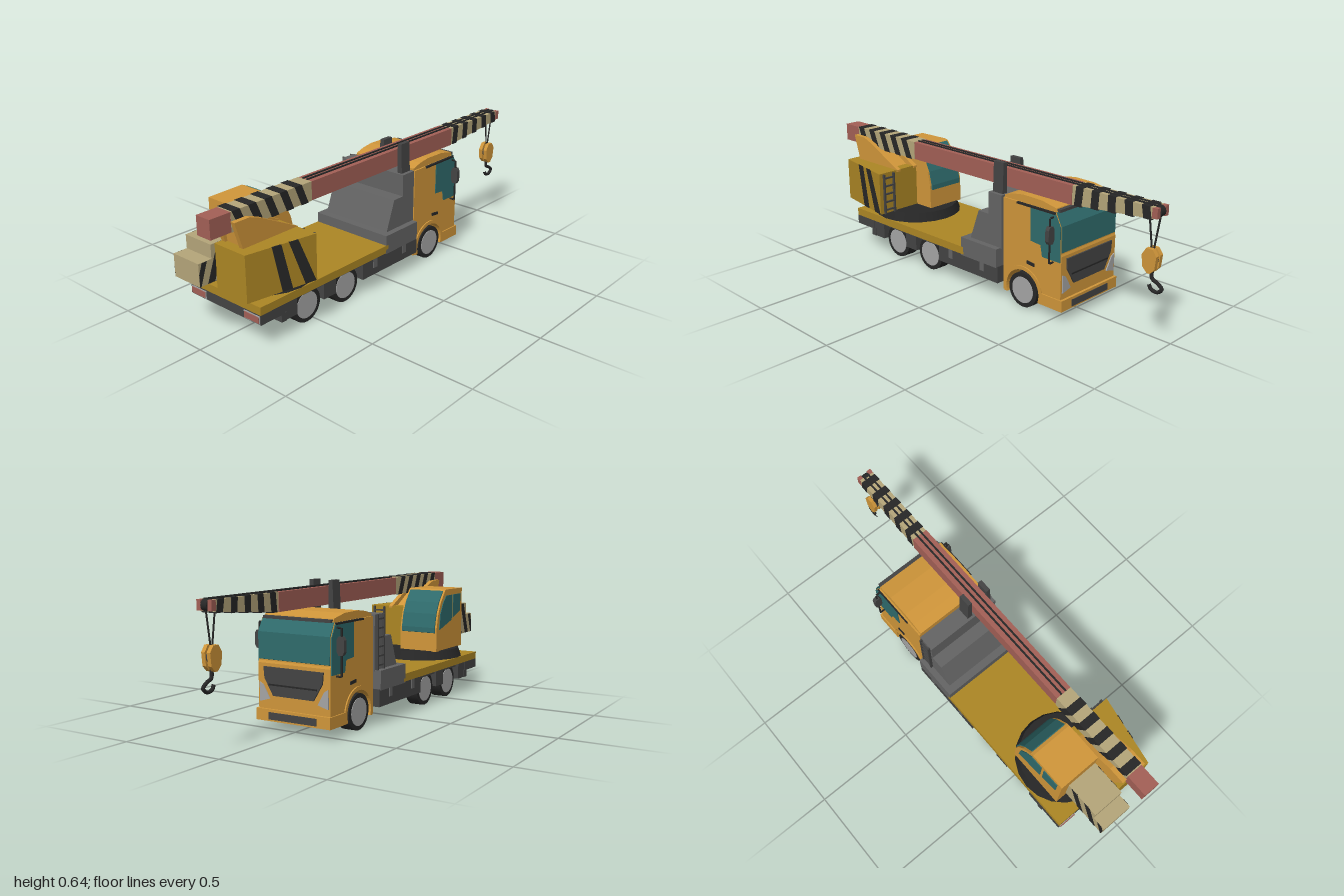
import * as THREE from 'three';

const C = -0.024;  // chassis centre line
const B = 0.079;   // boom centre line

export function createModel() {
  const root = new THREE.Group();
  root.name = 'mobileCrane';
  const mat = (name, color) => {
    const m = new THREE.MeshStandardMaterial({ color });
    m.name = name;
    return m;
  };
  const orange = mat('orange', 0xd0963a), olive = mat('mustard', 0xac8624), red = mat('red', 0xa36056);
  const beige = mat('beige', 0xb5a67a), teal = mat('glass', 0x2f6b6c), black = mat('black', 0x272727);
  const dark = mat('darkGrey', 0x444444), grey = mat('grey', 0x646464), light = mat('lightGrey', 0xa5a5a5);

  const add = (name, m, geo, parent = root) => {
    const mesh = new THREE.Mesh(geo, m);
    mesh.name = name;
    parent.add(mesh);
    return mesh;
  };
  // box given by its limits
  const box = (name, m, x0, x1, y0, y1, z0, z1, parent) =>
    add(name, m, new THREE.BoxGeometry(x1 - x0, y1 - y0, z1 - z0)
      .translate((x0 + x1) / 2, (y0 + y1) / 2, (z0 + z1) / 2), parent);
  const toShape = p => p instanceof THREE.Shape ? p : new THREE.Shape(p.map(q => new THREE.Vector2(...q)));
  // side profile of [z, y] points, extruded from x0 to x1
  const side = (name, m, pts, x0, x1) =>
    add(name, m, new THREE.ExtrudeGeometry(toShape(pts), { depth: x1 - x0, bevelEnabled: false, curveSegments: 14 })
      .rotateY(-Math.PI / 2).translate(x1, 0, 0));
  // plate of [x, y] points, extruded from z0 to z1
  const plate = (name, m, pts, z0, z1) =>
    add(name, m, new THREE.ExtrudeGeometry(toShape(pts), { depth: z1 - z0, bevelEnabled: false }).translate(0, 0, z0));
  const rod = (name, m, a, b, r) =>
    add(name, m, new THREE.TubeGeometry(new THREE.LineCurve3(new THREE.Vector3(...a), new THREE.Vector3(...b)), 1, r, 6));
  // thin skin just outside a run of front-facing profile points
  const skin = (name, m, pts, x0, x1) =>
    side(name, m, [...pts.map(([z, y]) => [z - 0.005, y + 0.002]), ...[...pts].reverse()], x0, x1);
  const ladder = (name, w, h, n) => {
    const g = new THREE.Group();
    g.name = name;
    for (const s of [-1, 1]) box('ladderRail', dark, s * w / 2 - 0.004, s * w / 2 + 0.004, 0, h, -0.006, 0.006, g);
    for (let i = 0; i < n; i++) {
      const y = h * (i + 0.5) / n;
      box('ladderRung', dark, -w / 2, w / 2, y - 0.004, y + 0.004, -0.004, 0.004, g);
    }
    root.add(g);
    return g;
  };

  // Chassis and deck
  box('deck', olive, C - 0.219, C + 0.219, 0.16, 0.197, 0.03, 0.835);
  box('frame', dark, C - 0.09, C + 0.09, 0.075, 0.16, -0.5, 0.72);
  box('wheelBayRoof', dark, C - 0.2, C + 0.2, 0.145, 0.16, 0.15, 0.8);
  box('middleSkirt', dark, C - 0.215, C + 0.215, 0.08, 0.16, -0.19, 0.205);
  box('betweenWheels', dark, C - 0.21, C + 0.21, 0.08, 0.16, 0.38, 0.457);
  box('rearSkirt', dark, C - 0.215, C + 0.215, 0.08, 0.16, 0.625, 0.7);
  box('rearBumper', dark, C - 0.219, C + 0.219, 0.115, 0.16, 0.7, 0.835);
  box('rearLowerPanel', dark, C - 0.219, C + 0.219, 0.08, 0.12, 0.69, 0.72);
  box('towBlock', grey, C - 0.048, C + 0.048, 0.055, 0.08, 0.62, 0.7);
  for (const s of [-1, 1]) {
    const x = C + s * 0.167;
    box('tailLightFrame', light, x - 0.047, x + 0.047, 0.119, 0.155, 0.83, 0.838);
    box('tailLight', red, x - 0.043, x + 0.043, 0.123, 0.151, 0.832, 0.841);
    for (const z of [0.12, -0.09])
      box('skirtBracket', grey, C + s * 0.215 - 0.004, C + s * 0.215 + 0.004, 0.115, 0.16, z - 0.013, z + 0.013);
  }

  // Wheels and axles
  for (const z of [0.543, 0.297, -0.323]) {
    add('axle', dark, new THREE.CylinderGeometry(0.018, 0.018, 0.34, 10).rotateZ(Math.PI / 2).translate(C, 0.082, z));
    for (const s of [-1, 1]) {
      add('tyre', black, new THREE.CylinderGeometry(0.082, 0.082, 0.063, 28).rotateZ(Math.PI / 2).translate(C + s * 0.158, 0.082, z));
      add('hub', light, new THREE.CylinderGeometry(0.062, 0.062, 0.006, 28).rotateZ(Math.PI / 2).translate(C + s * 0.189, 0.082, z));
    }
  }

  // Driver's cab with wheel arch
  const cab = new THREE.Shape();
  cab.moveTo(-0.54, 0.05);
  cab.lineTo(-0.415, 0.05);
  cab.absarc(-0.323, 0.082, 0.097, Math.PI + 0.34, -0.34, true);
  for (const p of [[-0.2, 0.05], [-0.2, 0.49], [-0.507, 0.49], [-0.535, 0.433], [-0.537, 0.31], [-0.541, 0.3]]) cab.lineTo(...p);
  side('cabBody', orange, cab, C - 0.187, C + 0.187);
  side('cabRoof', orange, [[-0.2, 0.488], [-0.2, 0.5], [-0.25, 0.516], [-0.31, 0.525], [-0.42, 0.523], [-0.5, 0.507], [-0.507, 0.488]],
    C - 0.179, C + 0.179);
  box('cabFloor', dark, C - 0.115, C + 0.115, 0.055, 0.2, -0.535, -0.21);
  skin('windscreen', teal, [[-0.503, 0.49], [-0.535, 0.433], [-0.536, 0.315]], C - 0.184, C + 0.184);
  box('sunVisor', dark, C - 0.175, C + 0.175, 0.49, 0.503, -0.52, -0.495);
  box('frontBumper', orange, C - 0.193, C + 0.193, 0.048, 0.1, -0.553, -0.43);
  box('bumperInset', dark, C - 0.125, C + 0.125, 0.056, 0.088, -0.556, -0.55);
  plate('grille', dark, [[C - 0.155, 0.285], [C + 0.155, 0.285], [C + 0.15, 0.235], [C + 0.105, 0.16], [C - 0.105, 0.16], [C - 0.15, 0.235]],
    -0.548, -0.539);
  box('grilleBar', black, C - 0.125, C + 0.125, 0.205, 0.212, -0.551, -0.545);
  for (const s of [-1, 1]) {
    const x = C + s * 0.187, thin = (name, m, pts, t = 0.004) => side(name, m, pts, x - t, x + t);
    thin('sideWindow', teal, [[-0.366, 0.487], [-0.505, 0.487], [-0.534, 0.433], [-0.536, 0.273], [-0.435, 0.273], [-0.425, 0.325], [-0.366, 0.33]]);
    thin('dripRail', black, [[-0.285, 0.482], [-0.505, 0.482], [-0.505, 0.49], [-0.285, 0.49]], 0.006);
    thin('doorHandle', black, [[-0.345, 0.217], [-0.345, 0.231], [-0.39, 0.226], [-0.39, 0.212]], 0.005);
    const arch = new THREE.Shape();
    arch.absarc(-0.323, 0.082, 0.114, -0.3, Math.PI + 0.3, false);
    arch.absarc(-0.323, 0.082, 0.097, Math.PI + 0.34, -0.34, true);
    thin('wheelArchLip', orange, arch, 0.006);
    plate('headlight', light, [[C + s * 0.178, 0.215], [C + s * 0.16, 0.205], [C + s * 0.125, 0.145], [C + s * 0.178, 0.13]], -0.546, -0.538);
    // Mirror on its bracket
    const xo = C + s * 0.213, xi = C + s * 0.184;
    rod('mirrorArm', black, [xi, 0.47, -0.495], [xo, 0.47, -0.495], 0.0045);
    rod('mirrorArm', black, [xo, 0.47, -0.495], [xo, 0.265, -0.495], 0.0045);
    rod('mirrorArm', black, [xo, 0.265, -0.495], [xi, 0.265, -0.495], 0.0045);
    const h = [[-0.018, 0.37], [-0.01, 0.355], [0.01, 0.355], [0.018, 0.37], [0.018, 0.42], [0.01, 0.434], [-0.01, 0.434], [-0.018, 0.42]];
    plate('mirror', dark, h.map(([a, y]) => [xo + a, y]), -0.506, -0.486);
  }

  // Equipment housing and boom rest behind the cab
  box('housingBase', grey, C - 0.219, C + 0.219, 0.155, 0.245, -0.185, 0.045);
  side('housing', grey, [[-0.19, 0.24], [0.01, 0.24], [-0.045, 0.39], [-0.108, 0.39], [-0.108, 0.495], [-0.19, 0.495]], C - 0.19, C + 0.19);
  for (const s of [-1, 1])
    plate('boomRest', dark, [[B + s * 0.042, 0.38], [B + s * 0.074, 0.38], [B + s * 0.063, 0.637], [B + s * 0.042, 0.637]], -0.18, -0.12);
  const housingLadder = ladder('housingLadder', 0.055, 0.25, 6);
  housingLadder.rotation.y = Math.PI / 2;
  housingLadder.position.set(C - 0.196, 0.245, -0.15);

  // Turntable
  add('turntable', black, new THREE.CylinderGeometry(0.202, 0.219, 0.046, 20).translate(C, 0.219, 0.602));

  // Operator's cab
  const front = [[0.458, 0.24], [0.46, 0.36], [0.476, 0.43], [0.503, 0.487], [0.55, 0.545]];
  side('operatorCab', orange, [...front, [0.565, 0.551], [0.75, 0.548], [0.75, 0.24]], -0.193, 0.015);
  skin('operatorWindscreen', teal, [[0.55, 0.543], [0.503, 0.487], [0.476, 0.43], [0.46, 0.36], [0.46, 0.335]], -0.183, 0.005);
  side('operatorDoorWindow', teal, [[0.485, 0.35], [0.495, 0.43], [0.525, 0.485], [0.56, 0.52], [0.625, 0.52], [0.625, 0.39]], -0.197, -0.19);
  side('operatorRearWindow', teal, [[0.64, 0.4], [0.64, 0.52], [0.725, 0.52], [0.725, 0.43]], -0.197, -0.19);

  // Stepped counterweight with warning stripes
  box('counterweightUpper', beige, -0.141, 0.014, 0.385, 0.45, 0.74, 0.92);
  box('counterweightLower', beige, -0.141, 0.014, 0.285, 0.388, 0.74, 0.987);
  for (const x of [-0.141, 0.014]) {
    for (const z of [0.77, 0.85])
      side('counterweightStripe', black, [[z, 0.45], [z + 0.035, 0.45], [z + 0.095, 0.286], [z + 0.06, 0.286]], x - 0.002, x + 0.002);
    side('counterweightStripe', black, [[0.945, 0.387], [0.97, 0.387], [0.986, 0.34], [0.986, 0.286], [0.98, 0.286]], x - 0.002, x + 0.002);
  }

  // Winch house, wider towards the cab, with striped flank
  add('winchHouse', olive, new THREE.ExtrudeGeometry(toShape([[0.015, -0.9], [0.193, -0.9], [0.253, -0.565], [0.015, -0.565]]),
    { depth: 0.21, bevelEnabled: false }).rotateX(-Math.PI / 2).translate(0, 0.24, 0));
  for (const [a, b, c, d] of [[0.778, 0.735, 0.687, 0.735], [0.698, 0.655, 0.571, 0.623]]) {
    const stripe = side('flankStripe', black, [[a, 0.45], [b, 0.45], [c, 0.241], [d, 0.241]], -0.003, 0.003);
    const p = stripe.geometry.attributes.position;
    for (let i = 0; i < p.count; i++) p.setX(i, p.getX(i) + 0.193 + (0.9 - p.getZ(i)) * 0.06 / 0.335);
    stripe.geometry.computeVertexNormals();
  }
  const houseLadder = ladder('winchHouseLadder', 0.06, 0.205, 5);
  houseLadder.position.set(0.2, 0.24, 0.557);

  // Boom pivot cheeks
  for (const s of [-1, 1])
    side('boomCheek', orange, [[0.86, 0.44], [0.9, 0.572], [0.82, 0.572], [0.76, 0.55], [0.56, 0.45], [0.56, 0.44]],
      B + s * 0.053 - 0.011, B + s * 0.053 + 0.011);
  side('boomCradle', orange, [[0.85, 0.44], [0.86, 0.523], [0.75, 0.523], [0.6, 0.44]], B - 0.043, B + 0.043);

  // Boom with striped sleeve and tapered tip
  const top = 0.61, low = 0.525;
  const tipLow = z => low + (0.565 - low) * (-0.545 - z) / 0.43;
  box('boom', red, B - 0.039, B + 0.039, low, top, -0.55, 1);
  box('boomSleeve', beige, B - 0.04, B + 0.04, low - 0.001, top + 0.001, 0.45, 0.895);
  side('boomTip', beige, [[-0.548, low], [-0.548, top], [-0.955, top], [-0.955, tipLow(-0.955)]], B - 0.036, B + 0.036);
  for (let i = 0; i < 5; i++) {
    const z = 0.85 - i * 0.085;
    side('sleeveStripe', black, [[z, top + 0.003], [z + 0.04, top + 0.003], [z + 0.002, low - 0.003], [z - 0.038, low - 0.003]], B - 0.042, B + 0.042);
    const t = -0.61 - i * 0.082, k = 0.045 - i * 0.005;
    side('tipStripe', black, [[t, top + 0.002], [t + 0.038, top + 0.002], [t + 0.038 + k - 0.035, tipLow(t + k) - 0.002], [t + k - 0.035, tipLow(t + k) - 0.002]],
      B - 0.038, B + 0.038);
  }
  for (const s of [-1, 1]) {
    box('boomRope', black, B + s * 0.012 - 0.004, B + s * 0.012 + 0.004, top, top + 0.005, -0.955, 0.45);
    box('tipFork', red, B + s * 0.028 - 0.01, B + s * 0.028 + 0.01, 0.567, top, -0.975, -0.95);
  }
  add('tipPulley', black, new THREE.CylinderGeometry(0.024, 0.024, 0.03, 16).rotateZ(Math.PI / 2).translate(B, 0.588, -0.955));

  // Hook block hanging from the tip
  rod('hoistRope', black, [B, 0.575, -0.912], [B, 0.425, -0.933], 0.004);
  rod('hoistRope', black, [B, 0.575, -0.966], [B, 0.425, -0.943], 0.004);
  for (const s of [-1, 1])
    side('hookBlockCheek', orange, [[-0.902, 0.4], [-0.922, 0.432], [-0.953, 0.432], [-0.972, 0.405], [-0.966, 0.35], [-0.945, 0.327], [-0.93, 0.327], [-0.908, 0.35]],
      B + s * 0.014 - 0.009, B + s * 0.014 + 0.009);
  add('hookSheave', dark, new THREE.CylinderGeometry(0.028, 0.028, 0.012, 14).rotateZ(Math.PI / 2).translate(B, 0.385, -0.938));
  const hook = [[0.335, -0.94], [0.3, -0.943], [0.288, -0.968], [0.267, -0.992], [0.248, -0.97], [0.254, -0.94], [0.272, -0.93]];
  add('hook', black, new THREE.TubeGeometry(new THREE.CatmullRomCurve3(hook.map(([y, z]) => new THREE.Vector3(B, y, z))), 24, 0.008, 8));

  return root;
}
